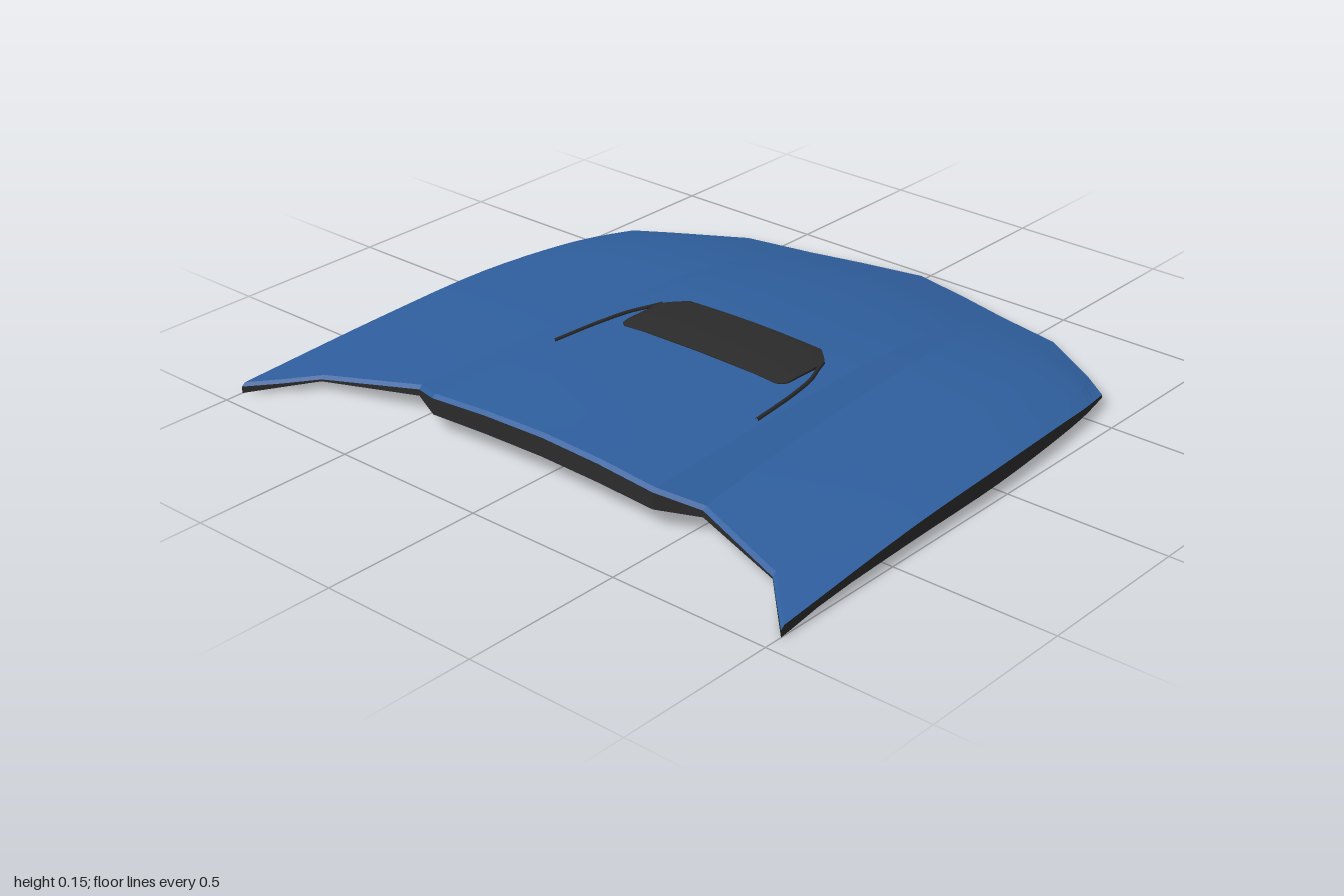
import * as THREE from 'three';
import { toCreasedNormals } from 'three/addons/utils/BufferGeometryUtils.js';

const V = (x, y, z) => new THREE.Vector3(x, y, z);

// Skin stretched over neighbouring lines of points (front side is j cross i)
function sheet(lines, crease = 0.13) {
  const n = lines[0].length, index = [];
  for (let i = 0; i < lines.length - 1; i++) {
    for (let j = 0; j < n - 1; j++) {
      const a = i * n + j, b = a + n;
      index.push(a, a + 1, b, b, a + 1, b + 1);
    }
  }
  const geo = new THREE.BufferGeometry().setFromPoints(lines.flat());
  geo.setIndex(index);
  return toCreasedNormals(geo, crease);
}

// Height of the underside
function underY(p) {
  const rise = THREE.MathUtils.smoothstep(p.z, -0.95, 0);
  const tip = Math.max(0, p.z - 0.75) / 0.19;
  const y = 0.02 + 0.042 * (1 - p.x * p.x) * rise - 0.02 * tip;
  return Math.min(y, p.y - 0.004);
}

export function createModel() {
  const model = new THREE.Group();
  const paint = new THREE.MeshStandardMaterial({ color: 0x2f5f9e });
  const black = new THREE.MeshStandardMaterial({ color: 0x2b2b2b });
  paint.name = 'bluePaint';
  black.name = 'blackTrim';
  const add = (name, geo, mat) => {
    const mesh = new THREE.Mesh(geo, mat);
    mesh.name = name;
    model.add(mesh);
  };

  // Lengthwise contour lines, rear to front, from the centre out to the side
  const contours = [
    [[0, .016, -.95], [0, .083, -.68], [0, .121, -.4], [0, .14, 0], [0, .138, .4], [0, .13, .728]],
    [[.2, .018, -.905], [.2, .081, -.66], [.21, .118, -.4], [.21, .137, 0], [.21, .135, .4], [.21, .126, .732]],
    [[.35, .02, -.865], [.365, .075, -.63], [.375, .109, -.4], [.39, .125, 0], [.4, .123, .4], [.41, .115, .738]],
    [[.37, .02, -.86], [.41, .068, -.63], [.44, .093, -.4], [.475, .1, 0], [.505, .092, .4], [.53, .08, .678]],
    [[.59, .024, -.81], [.68, .062, -.6], [.73, .078, -.4], [.77, .085, 0], [.81, .072, .4], [.84, .045, .77]],
    [[.8, .026, -.68], [.86, .05, -.55], [.895, .064, -.36], [.92, .076, 0], [.93, .066, .4], [.92, .036, .85]],
    [[.9, .032, -.6], [.925, .046, -.48], [.945, .06, -.33], [.972, .072, 0], [.982, .062, .4], [1, .03, .93]],
  ];
  const half = contours.map((pts) => {
    const line = new THREE.CatmullRomCurve3(pts.map((p) => V(...p))).getPoints(20);
    // short turned-down lip at the front
    const end = line[line.length - 1];
    line.push(V(end.x, end.y - 0.01, end.z + 0.012));
    return line;
  });
  const mirrored = half.slice(1).reverse().map((l) => l.map((p) => V(-p.x, p.y, p.z)));
  const top = [...mirrored, ...half];
  const under = top.map((l) => l.map((p) => V(p.x, underY(p), p.z)));

  add('hoodTop', sheet(top), paint);
  add('hoodUnderside', sheet([...under].reverse(), 0.6), paint);

  // Rim strips joining the top to the underside
  const rim = (edge) => sheet(edge.map((p) => [p, V(p.x, underY(p), p.z)]), 0.4);
  const last = top.length - 1;
  add('frontRim', rim(top.map((l) => l[l.length - 1])), black);
  add('leftRim', rim([...top[last]].reverse()), black);
  add('rightRim', rim(top[0]), black);
  add('rearRim', rim(top.map((l) => l[0]).reverse()), paint);

  // Vent plate, arched across the hood with clipped corners
  const ventHalf = [[0, -.14, .105], [.1, -.14, .105], [.2, -.14, .105], [.25, -.14, .105],
    [.285, -.108, .105], [.302, -.09, .092], [.308, -.06, .075]];
  const vent = [...ventHalf.slice(1).reverse().map(([x, a, b]) => [-x, a, b]), ...ventHalf];
  const ventLine = ([x, a, b]) => {
    const y = 0.147 - 0.11 * x * x;
    return [V(x, y - 0.012, a), V(x, y - 0.002, a), V(x, y, a + 0.012),
      V(x, y, b - 0.012), V(x, y - 0.002, b), V(x, y - 0.012, b)];
  };
  const lines = vent.map(ventLine);
  const skirt = (l) => l.map((p) => V(p.x, p.y - 0.012, p.z));
  add('ventPlate', sheet([skirt(lines[0]), ...lines, skirt(lines[lines.length - 1])], 0.4), black);

  // Thin curved trim lines trailing forward from the vent
  for (const [s, name] of [[1, 'leftTrimLine'], [-1, 'rightTrimLine']]) {
    const path = new THREE.CatmullRomCurve3([
      V(s * .304, .135, -.08), V(s * .322, .134, -.03), V(s * .342, .133, .02),
      V(s * .362, .131, .13), V(s * .379, .128, .3),
    ]);
    add(name, new THREE.TubeGeometry(path, 16, 0.006, 6), black);
  }
  return model;
}
